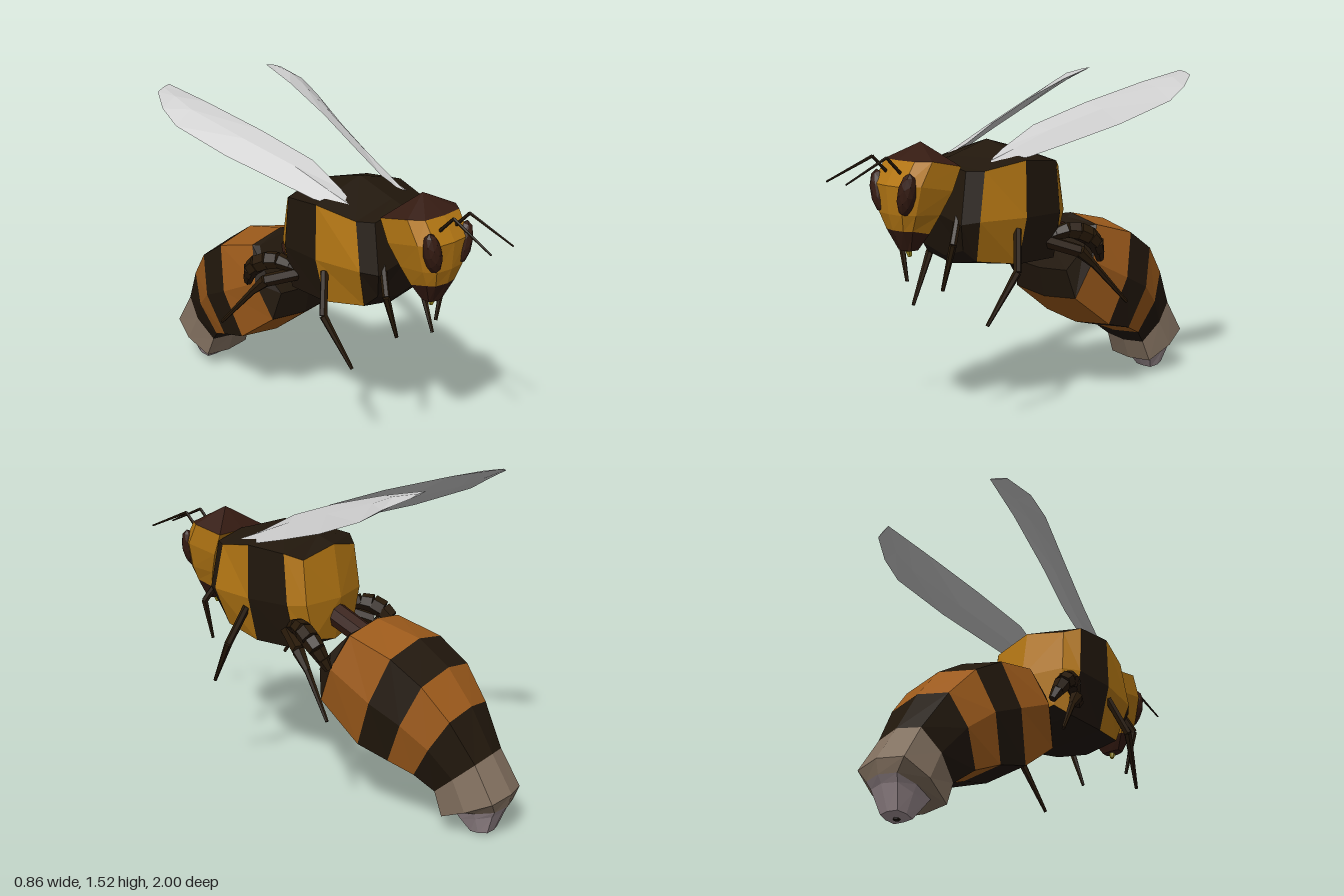
import * as THREE from 'three';

const mats = {};
const mat = (c) => (mats[c] ??= new THREE.MeshStandardMaterial({ color: c, flatShading: true }));
const BLACK = 0x21170c, AMBER = 0xb67814, BROWN = 0x9c5a1b, DARK = 0x351b12,
  LEG = 0x271909, GREY = 0x82705f, PALE = 0xa09094, WING = 0xcccccc;

// Skin closed rings of equal point count; colour chosen per facet, ends closed by a fan
function loft(parent, name, rings, colorOf, startTip, endTip) {
  const n = rings[0].length, faces = {};
  let volume = 0;
  const V = (p) => new THREE.Vector3(...p);
  const centre = (r) => [0, 1, 2].map((k) => r.reduce((s, p) => s + p[k], 0) / n);
  const origin = V(centre(rings[0]));
  const tri = (color, a, b, c) => {
    (faces[color] ??= []).push([a, b, c]);
    const [u, v, w] = [a, b, c].map((p) => V(p).sub(origin));
    volume += u.dot(v.cross(w));
  };
  const last = rings.length - 1;
  const tipA = startTip ?? centre(rings[0]), tipB = endTip ?? centre(rings[last]);
  for (let j = 0; j < n; j++) {
    const k = (j + 1) % n;
    tri(colorOf(-1, j), tipA, rings[0][k], rings[0][j]);
    for (let i = 0; i < last; i++) {
      const c = colorOf(i, j), A = rings[i], B = rings[i + 1];
      tri(c, A[j], A[k], B[k]);
      tri(c, A[j], B[k], B[j]);
    }
    tri(colorOf(last, j), tipB, rings[last][j], rings[last][k]);
  }
  const group = new THREE.Group();
  group.name = name;
  for (const [color, list] of Object.entries(faces)) {
    const pts = list.flatMap(([a, b, c]) => (volume < 0 ? [a, c, b] : [a, b, c])).flat();
    const geo = new THREE.BufferGeometry();
    geo.setAttribute('position', new THREE.Float32BufferAttribute(pts, 3));
    geo.computeVertexNormals();
    const mesh = new THREE.Mesh(geo, mat(Number(color)));
    mesh.name = name + 'Facets';
    group.add(mesh);
  }
  parent.add(group);
}

// Complete a half outline (first and last points on x = 0) into a closed ring
const mirrorRing = (half) => [...half, ...half.slice(1, -1).reverse().map(([x, y, z]) => [-x, y, z])];

// Tapered bar between two points
function bar(parent, name, a, b, ra, rb, color, sides = 6) {
  const A = new THREE.Vector3(...a), B = new THREE.Vector3(...b), d = B.clone().sub(A);
  const mesh = new THREE.Mesh(new THREE.CylinderGeometry(rb, ra, d.length(), sides), mat(color));
  mesh.position.copy(A).add(B).multiplyScalar(0.5);
  mesh.quaternion.setFromUnitVectors(new THREE.Vector3(0, 1, 0), d.normalize());
  mesh.name = name;
  parent.add(mesh);
}

function limb(parent, name, points, radii, color) {
  const group = new THREE.Group();
  group.name = name;
  for (let i = 0; i < points.length - 1; i++) {
    bar(group, name + 'Segment', points[i], points[i + 1], radii[i], radii[i + 1], color);
  }
  parent.add(group);
}

export function createModel() {
  const bee = new THREE.Group();
  bee.name = 'bee';

  // Thorax: top, shoulder, waist, lower side, belly of each ring
  const thorax = [
    [[0, 1.16, 0.48], [0.17, 1.13, 0.475], [0.185, 0.91, 0.515], [0.14, 0.79, 0.47], [0, 0.75, 0.46]],
    [[0, 1.18, 0.41], [0.215, 1.13, 0.41], [0.23, 0.92, 0.45], [0.17, 0.74, 0.42], [0, 0.71, 0.42]],
    [[0, 1.24, 0.22], [0.26, 1.165, 0.22], [0.265, 0.92, 0.22], [0.21, 0.71, 0.22], [0, 0.68, 0.2]],
    [[0, 1.19, 0.03], [0.245, 1.15, 0.03], [0.25, 0.92, 0.01], [0.2, 0.71, 0], [0, 0.69, 0]],
    [[0, 1.16, -0.06], [0.19, 1.12, -0.035], [0.2, 0.92, -0.06], [0.15, 0.75, -0.06], [0, 0.72, -0.07]],
  ].map(mirrorRing);
  const isSide = (j) => [1, 2, 5, 6].includes(j);
  const amberFacet = (i, j) => i === 4 || ((i === 1 || i === 3) && isSide(j));
  loft(bee, 'thorax', thorax, (i, j) => (amberFacet(i, j) ? AMBER : BLACK),
    [0, 0.95, 0.52], [0, 0.92, -0.1]);

  // Abdomen: each ring from top [y, z] and bottom [y, z] with a half width
  const abdomen = [
    [0.84, -0.28, 0.62, -0.1, 0.2],
    [0.86, -0.3, 0.48, -0.13, 0.235], [0.81, -0.52, 0.32, -0.34, 0.25],
    [0.71, -0.67, 0.28, -0.49, 0.235], [0.56, -0.79, 0.235, -0.6, 0.19],
    [0.37, -0.9, 0.17, -0.68, 0.14], [0.21, -1, 0.07, -0.72, 0.15],
    [0.15, -0.985, 0.09, -0.77, 0.1], [0.12, -0.965, 0.06, -0.79, 0.085], [0.02, -0.925, 0.005, -0.83, 0.055],
  ].map(([ty, tz, by, bz, w]) => mirrorRing(
    [[0, 0], [0.8, 0.09], [1, 0.5], [0.85, 0.95], [0, 1]].map(
      ([x, t]) => [x * w, ty + (by - ty) * t, tz + (bz - tz) * t])));
  const bands = [BLACK, BROWN, BLACK, BROWN, BLACK, GREY, GREY, PALE, PALE, PALE];
  loft(bee, 'abdomen', abdomen, (i) => bands[Math.max(i, 0)], [0, 0.72, -0.18], [0, 0.004, -0.87]);
  bar(bee, 'stinger', [0, 0.03, -0.87], [0, 0.001, -0.872], 0.018, 0.014, BLACK);
  bar(bee, 'waist', [0, 0.86, -0.02], [0, 0.76, -0.25], 0.055, 0.055, DARK, 8);

  // Head: horizontal sections [front y, back y, front z, back z, half width]
  const head = [
    [0.8, 0.8, 0.69, 0.63, 0.045], [0.89, 0.87, 0.73, 0.6, 0.085], [0.96, 0.95, 0.75, 0.565, 0.115],
    [1.08, 1.05, 0.76, 0.52, 0.145], [1.18, 1.15, 0.7, 0.48, 0.15],
  ].map(([yf, yb, f, b, w]) => mirrorRing([[0, yf, f], [w * 0.7, yf, f - 0.01],
    [w, yf, f - (f - b) * 0.3], [w, yb, b + 0.005], [0, yb, b]]));
  loft(bee, 'head', head, (i) => (i < 1 || i === 4 ? DARK : AMBER), [0, 0.79, 0.65], [0, 1.25, 0.58]);
  bar(bee, 'proboscis', [0, 0.83, 0.66], [0, 0.77, 0.645], 0.022, 0.01, 0xa09020);

  for (const s of [1, -1]) {
    const side = s > 0 ? 'left' : 'right';
    const m = (points) => points.map(([x, y, z]) => [x * s, y, z]);

    // Eyes
    const eye = new THREE.Mesh(new THREE.IcosahedronGeometry(1, 1), mat(DARK));
    eye.name = side + 'Eye';
    eye.scale.set(0.04, 0.095, 0.04);
    eye.position.set(0.095 * s, 1.045, 0.725);
    eye.rotation.z = -0.25 * s;
    bee.add(eye);

    // Antennae
    limb(bee, side + 'Antenna', m([[0.05, 1.12, 0.71], [0.05, 1.2, 0.79], [0.07, 1.11, 1]]),
      [0.008, 0.007, 0.004], LEG);

    // Wings: inner and outer edge points of each station, slightly cambered
    const wing = [
      [[0.145, 1.165, 0.32], [0.175, 1.155, 0.34]], [[0.125, 1.21, 0.23], [0.235, 1.175, 0.18]],
      [[0.13, 1.3, 0.06], [0.285, 1.225, 0]], [[0.19, 1.39, -0.2], [0.36, 1.3, -0.25]],
      [[0.255, 1.475, -0.5], [0.43, 1.395, -0.5]], [[0.275, 1.5, -0.61], [0.425, 1.455, -0.6]],
      [[0.295, 1.525, -0.72], [0.375, 1.505, -0.7]],
    ].map(([a, b], i) => {
      const bulge = i % 6 ? 1 : 0.2;
      const mid = (dy) => a.map((v, k) => (v + b[k]) / 2 + (k === 1 ? dy * bulge : 0));
      return m([a, mid(0.02), b, mid(-0.015)]);
    });
    loft(bee, side + 'Wing', wing, () => WING);

    // Legs
    limb(bee, side + 'FrontLeg', m([[0.13, 0.97, 0.48], [0.185, 0.83, 0.56], [0.125, 0.63, 0.57]]),
      [0.016, 0.016, 0.008], LEG);
    limb(bee, side + 'MiddleLeg', m([[0.24, 0.87, 0.25], [0.305, 0.7, 0.31], [0.26, 0.48, 0.44]]),
      [0.018, 0.018, 0.008], LEG);
    const thigh = new THREE.CatmullRomCurve3(
      [[0.19, 0.8, 0.05], [0.25, 0.835, -0.06], [0.285, 0.78, -0.17], [0.265, 0.68, -0.23]]
        .map(([x, y, z]) => new THREE.Vector3(x, y, z))).getPoints(7).map((p) => p.toArray());
    limb(bee, side + 'HindThigh', m(thigh),
      thigh.map((p, i) => 0.018 + 0.026 * Math.sin((Math.PI * i) / 7)), LEG);
    limb(bee, side + 'HindLeg', m([[0.2, 0.79, 0.05], [0.285, 0.74, -0.08], [0.31, 0.67, -0.15], [0.37, 0.49, -0.3]]),
      [0.03, 0.03, 0.016, 0.008], LEG);
  }
  return bee;
}
